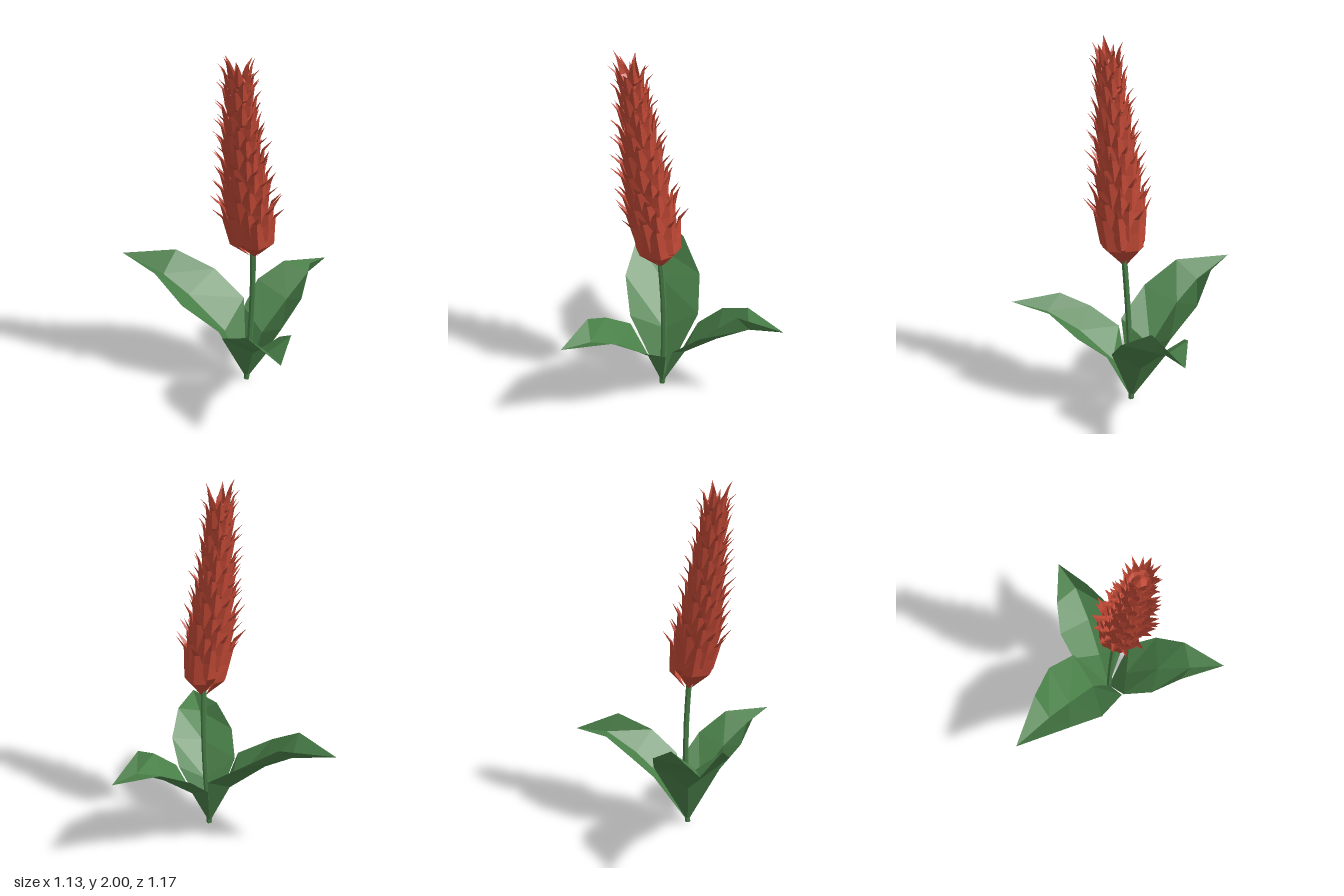
import * as THREE from 'three';
import { mergeGeometries } from 'three/addons/utils/BufferGeometryUtils.js';

const green = new THREE.MeshStandardMaterial({ color: 0x4a8049, side: THREE.DoubleSide });
green.name = 'leaf green';
const red = new THREE.MeshStandardMaterial({ color: 0xc04835, side: THREE.DoubleSide });
red.name = 'flower red';

// Small seeded random in the range -1..1
let seed = 7;
const jitter = () => {
  seed = (seed * 16807) % 2147483647;
  return (seed / 2147483647) * 2 - 1;
};

// Faceted blade: a start point, rows of [left, midrib, right], a tip
function bladeGeometry(start, rows, tip) {
  const pos = [];
  const tri = (...pts) => pts.forEach(p => pos.push(...p));
  const last = rows[rows.length - 1];
  for (let s = 0; s < 2; s++) {
    tri(start, rows[0][s + 1], rows[0][s]);
    for (let i = 0; i < rows.length - 1; i++) {
      const [a, b] = [rows[i], rows[i + 1]];
      tri(a[s], a[s + 1], b[s + 1]);
      tri(a[s], b[s + 1], b[s]);
    }
    tri(last[s], last[s + 1], tip);
  }
  const g = new THREE.BufferGeometry();
  g.setAttribute('position', new THREE.Float32BufferAttribute(pos, 3));
  g.computeVertexNormals();
  return g;
}

function faceted(geometry) {
  const g = geometry.toNonIndexed();
  g.deleteAttribute('uv');
  g.computeVertexNormals();
  return g;
}

function add(group, name, geometry, material) {
  const mesh = new THREE.Mesh(geometry, material);
  mesh.name = name;
  group.add(mesh);
}

// Leaning centre line of the flower spike at height y
function axisAt(y) {
  const u = (y - 0.83) / 1.17;
  return [0.24 - 0.1 * u + 0.05 * u * u, 0.04 + 0.19 * u - 0.04 * u * u];
}

// One pointed bract: ridged outside, tip flaring outward
function bract(y0, angle, R, w, L, flare) {
  const c = Math.cos(angle), s = Math.sin(angle);
  const at = (r, t, h) => {
    const y = y0 + h * L;
    const [ax, az] = axisAt(y);
    return [ax + r * c - t * s, y, az + r * s + t * c];
  };
  const row = (edge, ridge, half, h) =>
    [at(edge, half, h), at(ridge, 0, h), at(edge, -half, h)];
  return bladeGeometry(at(R * 0.15, 0, 0), [
    row(R * 0.8, R * 1.06, w, 0.3),
    row(R * 0.92, R * 1.17, w * 0.72, 0.58),
    row(R * 1.14, R * 1.26, w * 0.34, 0.8)
  ], at(R + flare, 0, 1));
}

export function createModel() {
  const group = new THREE.Group();

  // Stem
  const stemPath = new THREE.CatmullRomCurve3([
    [0.21, 0, 0.03], [0.225, 0.3, 0.023], [0.235, 0.58, 0.026], [0.239, 0.88, 0.045]
  ].map(p => new THREE.Vector3(...p)));
  add(group, 'stem', faceted(new THREE.TubeGeometry(stemPath, 6, 0.016, 6)), green);

  // Three folded leaves, each with its own bend
  const root = [0.21, 0, 0.03];
  const leaves = {
    rightLeaf: [[
      [[0.12, 0.4, -0.18], [0.07, 0.28, 0.01], [0.1, 0.4, 0.2]],
      [[-0.07, 0.54, -0.21], [-0.15, 0.47, 0], [-0.11, 0.53, 0.21]],
      [[-0.28, 0.665, -0.14], [-0.31, 0.565, -0.015], [-0.3, 0.65, 0.13]]
    ], [-0.57, 0.64, -0.04]],
    backLeaf: [[
      [[0.4, 0.36, -0.005], [0.26, 0.25, -0.09], [0.12, 0.34, -0.18]],
      [[0.47, 0.49, -0.14], [0.355, 0.4, -0.25], [0.16, 0.46, -0.31]],
      [[0.46, 0.61, -0.34], [0.435, 0.51, -0.41], [0.28, 0.54, -0.43]]
    ], [0.49, 0.52, -0.585]],
    frontLeaf: [[
      [[0.12, 0.36, 0.2], [0.27, 0.24, 0.11], [0.4, 0.33, 0.03]],
      [[0.2, 0.47, 0.34], [0.36, 0.4, 0.27], [0.5, 0.44, 0.15]],
      [[0.34, 0.57, 0.44], [0.45, 0.5, 0.43], [0.54, 0.55, 0.32]]
    ], [0.565, 0.55, 0.585]]
  };
  for (const [name, [rows, tip]] of Object.entries(leaves)) {
    add(group, name, bladeGeometry(root, rows, tip), green);
  }

  // Inner core of the flower spike, bent along its centre line
  const core = new THREE.LatheGeometry([
    [0.01, 0.84], [0.075, 0.93], [0.085, 1.05], [0.075, 1.35], [0.055, 1.7], [0.035, 1.86], [0, 1.9]
  ].map(p => new THREE.Vector2(...p)), 8);
  const p = core.attributes.position;
  for (let i = 0; i < p.count; i++) {
    const [ax, az] = axisAt(p.getY(i));
    p.setXYZ(i, p.getX(i) + ax, p.getY(i), p.getZ(i) + az);
  }
  add(group, 'flowerCore', faceted(core), red);

  // Spiral of overlapping bracts, smaller toward the top
  const bracts = [];
  const count = 104;
  for (let i = 0; i < count; i++) {
    const u = i / (count - 1);
    const y0 = 0.825 + 1.005 * Math.max(0, u - 0.04) / 0.96;
    const R = 0.118 - 0.062 * u;
    const L = 0.35 - 0.185 * u + 0.012 * jitter();
    const flare = 0.075 - 0.042 * u + 0.014 * jitter();
    bracts.push(bract(y0, i * 2.39996 + 0.1 * jitter(), R, 0.064 - 0.036 * u, L, flare));
  }
  add(group, 'flowerBracts', mergeGeometries(bracts), red);

  return group;
}
